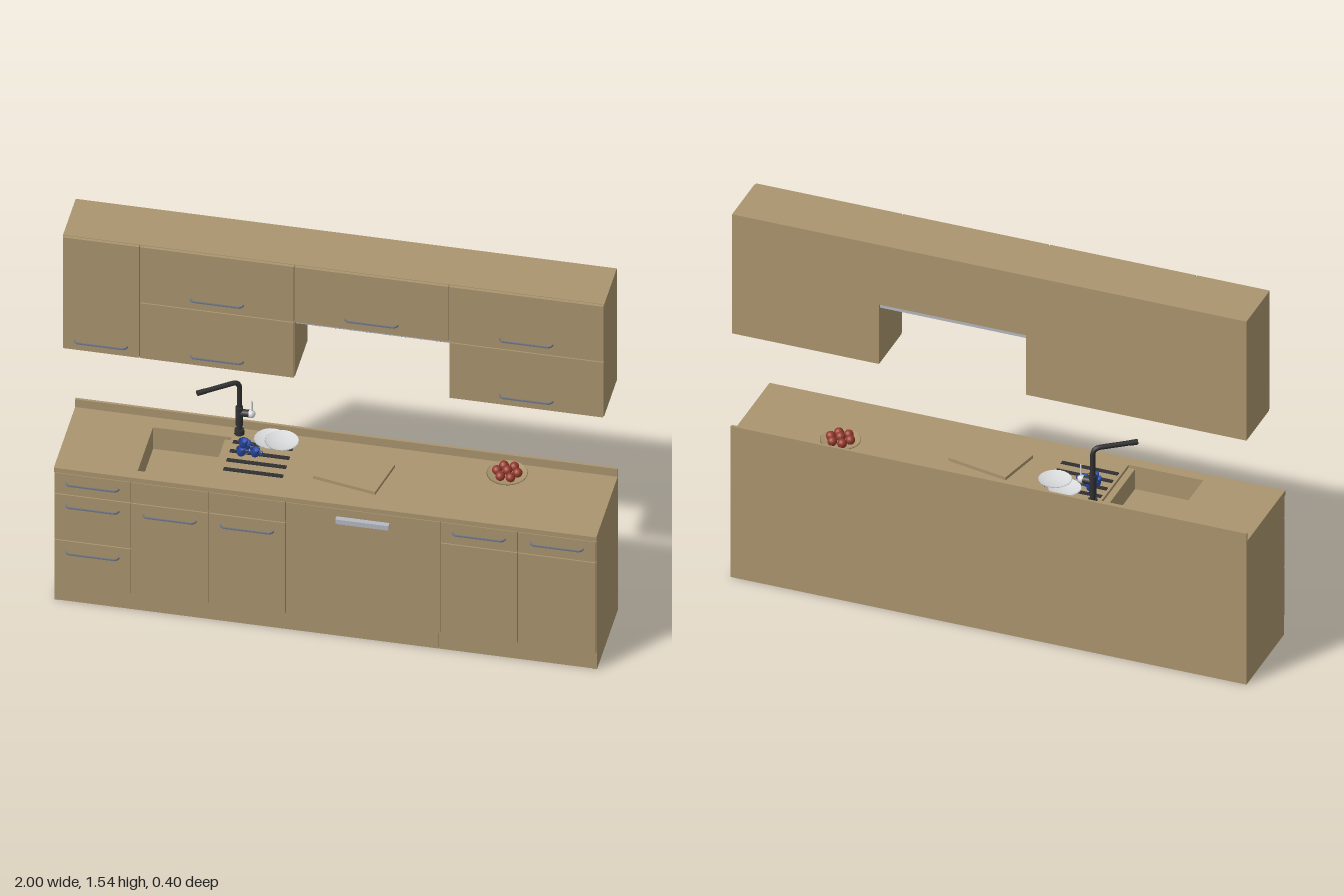
import * as THREE from 'three';

export function createModel() {
  const root = new THREE.Group();
  const mat = (name, color, side = THREE.FrontSide) => {
    const m = new THREE.MeshStandardMaterial({ color, side });
    m.name = name;
    return m;
  };
  const wood = mat('wood', 0xaa946e);
  const steel = mat('handleSteel', 0x6f7684);
  const silver = mat('silver', 0xb4b8c0);
  const black = mat('black', 0x303032);
  const white = mat('white', 0xd8dadc, THREE.DoubleSide);
  const blue = mat('blue', 0x2c4fb0, THREE.DoubleSide);
  const red = mat('red', 0x93382a);

  const add = (name, geo, material, x = 0, y = 0, z = 0, parent = root) => {
    const m = new THREE.Mesh(geo, material);
    m.name = name;
    m.position.set(x, y, z);
    parent.add(m);
    return m;
  };
  // box given by its limits on each axis
  const box = (name, material, x0, x1, y0, y1, z0, z1) =>
    add(name, new THREE.BoxGeometry(x1 - x0, y1 - y0, z1 - z0), material,
      (x0 + x1) / 2, (y0 + y1) / 2, (z0 + z1) / 2);

  // bracket-shaped pull handle
  const pull = new THREE.Shape([[-0.1, 0], [-0.096, 0.012], [-0.085, 0.02], [0.085, 0.02], [0.096, 0.012], [0.1, 0],
    [0.094, 0], [0.091, 0.009], [0.083, 0.015], [-0.083, 0.015], [-0.091, 0.009], [-0.094, 0]]
    .map(([x, y]) => new THREE.Vector2(x, y)));
  const pullGeo = new THREE.ExtrudeGeometry(pull, { depth: 0.006, bevelEnabled: false });
  pullGeo.translate(0, 0, -0.003).rotateX(Math.PI / 2);

  // front panel with a narrow gap round it, and an optional handle height
  const GAP = 0.002;
  const front = (name, x0, x1, y0, y1, z, handleY) => {
    box(name, wood, x0 + GAP, x1 - GAP, y0 + GAP, y1 - GAP, z, z + 0.012);
    if (handleY) add(name + 'Handle', pullGeo, steel, (x0 + x1) / 2, handleY, z + 0.012);
  };

  // ---- base cabinets: shell, partitions, recessed floor and plinth
  const X = [-1, -0.715, -0.43, -0.145, 0.425, 0.71, 1];
  const FZ = 0.168;
  box('baseBack', wood, -1, 1, 0, 0.585, -0.2, -0.19);
  for (const x of [-0.993, 0.993]) {
    box('baseSide', wood, x - 0.007, x + 0.007, 0, 0.585, -0.19, FZ);
  }
  for (const x of [X[1], X[3], X[4]]) box('partition', wood, x - 0.01, x + 0.01, 0, 0.4, -0.19, 0.155);
  box('baseFloor', wood, -0.986, 0.986, 0.072, 0.085, -0.19, FZ);
  box('baseFrontFrame', wood, -0.986, 0.986, 0.085, 0.585, 0.158, FZ);
  box('plinthLong', wood, -0.986, 0.413, 0, 0.072, 0.155, 0.166);
  box('plinthShort', wood, 0.416, 0.986, 0, 0.072, 0.155, 0.166);

  front('topDrawer', X[0], X[1], 0.49, 0.585, FZ, 0.545);
  front('middleDrawer', X[0], X[1], 0.282, 0.49, FZ, 0.445);
  front('bottomDrawer', X[0], X[1], 0.077, 0.282, FZ, 0.235);
  for (const i of [1, 2]) {
    front('sinkPanel', X[i], X[i + 1], 0.49, 0.585, FZ);
    front('sinkDoor', X[i], X[i + 1], 0.077, 0.49, FZ, 0.445);
  }
  front('dishwasherFront', X[3], X[4], 0.077, 0.585, FZ);
  box('dishwasherHandle', silver, 0.042, 0.238, 0.53, 0.55, 0.18, 0.2);
  for (const i of [4, 5]) {
    front('sideDrawer', X[i], X[i + 1], 0.49, 0.585, FZ, 0.545);
    front('sideDoor', X[i], X[i + 1], 0.077, 0.49, FZ);
  }

  // ---- worktop with sink opening, and rear upstand
  const rect = (Type, x0, x1, z0, z1) =>
    new Type([[x0, -z1], [x1, -z1], [x1, -z0], [x0, -z0]].map(([x, y]) => new THREE.Vector2(x, y)));
  const S = { x0: -0.7, x1: -0.41, z0: -0.13, z1: 0.135 };
  const top = rect(THREE.Shape, -1, 1, -0.2, 0.18);
  top.holes.push(rect(THREE.Path, S.x0, S.x1, S.z0, S.z1));
  const topGeo = new THREE.ExtrudeGeometry(top, { depth: 0.02, bevelEnabled: false });
  add('worktop', topGeo.rotateX(-Math.PI / 2), wood, 0, 0.585, 0);
  box('upstand', wood, -1, 1, 0.605, 0.64, -0.2, -0.19);

  // ---- sink basin
  const t = 0.008;
  box('sinkBottom', wood, S.x0, S.x1, 0.5, 0.508, S.z0, S.z1);
  for (const x of [S.x0 - t, S.x1]) box('sinkSide', wood, x, x + t, 0.5, 0.585, S.z0, S.z1);
  for (const z of [S.z0 - t, S.z1]) box('sinkEnd', wood, S.x0 - t, S.x1 + t, 0.5, 0.585, z, z + t);
  box('sinkLedge', wood, S.x1 - 0.025, S.x1, 0.508, 0.592, S.z0, S.z1);
  for (const z of [0.06, 0.005, -0.05, -0.105]) {
    box('drainerSlot', black, -0.4, -0.18, 0.604, 0.608, z - 0.009, z + 0.009);
  }

  // ---- tap
  const tap = new THREE.Group();
  tap.name = 'tap';
  tap.position.set(-0.388, 0.605, -0.16);
  root.add(tap);
  const V = (x, y, z) => new THREE.Vector3(x, y, z);
  const spout = new THREE.CurvePath();
  spout.add(new THREE.LineCurve3(V(0, 0, 0), V(0, 0.205, 0)));
  spout.add(new THREE.QuadraticBezierCurve3(V(0, 0.205, 0), V(0, 0.235, 0), V(-0.024, 0.235, 0.018)));
  spout.add(new THREE.LineCurve3(V(-0.024, 0.235, 0.018), V(-0.132, 0.235, 0.1)));
  add('spout', new THREE.TubeGeometry(spout, 48, 0.0095, 12), black, 0, 0, 0, tap);
  const tip = add('spoutTip', new THREE.CylinderGeometry(0.0105, 0.0105, 0.03, 12), black, -0.122, 0.235, 0.092, tap);
  tip.quaternion.setFromUnitVectors(V(0, 1, 0), V(-0.108, 0, 0.082).normalize());
  add('tapBase', new THREE.CylinderGeometry(0.017, 0.019, 0.02, 16), black, 0, 0.01, 0, tap);
  add('tapBody', new THREE.CylinderGeometry(0.014, 0.014, 0.08, 16), black, 0, 0.08, 0, tap);
  const cyl = new THREE.CylinderGeometry(0.014, 0.014, 0.035, 16).rotateZ(Math.PI / 2);
  add('tapValve', cyl, black, 0.02, 0.095, 0, tap);
  add('leverCap', new THREE.SphereGeometry(0.016, 16, 10), white, 0.043, 0.095, 0, tap);
  add('lever', new THREE.CylinderGeometry(0.003, 0.004, 0.055, 8), white, 0.046, 0.128, 0, tap);

  // ---- crockery, cutting board and fruit
  const lathe = (pts, n = 24) => new THREE.LatheGeometry(pts.map(([x, y]) => new THREE.Vector2(x, y)), n);
  const plate = lathe([[0, 0], [0.035, 0], [0.062, 0.014], [0.06, 0.016], [0.034, 0.004], [0, 0.004]]);
  add('plate', plate, white, -0.265, 0.612, -0.125);
  add('plate', plate, white, -0.22, 0.626, -0.105);
  const cup = lathe([[0, 0], [0.013, 0], [0.018, 0.028], [0.016, 0.028], [0.011, 0.003], [0, 0.003]], 16);
  for (const [x, y, z] of [[-0.355, 0.608, -0.035], [-0.305, 0.608, -0.04], [-0.345, 0.608, -0.075], [-0.35, 0.634, -0.05]]) {
    add('cup', cup, blue, x, y, z);
    add('cupHandle', new THREE.TorusGeometry(0.008, 0.002, 6, 12), blue, x + 0.02, y + 0.015, z);
  }
  const board = add('cuttingBoard', new THREE.BoxGeometry(0.245, 0.013, 0.18), wood, 0.065, 0.6115, -0.015);
  board.rotation.y = -0.2;

  add('fruitDish', lathe([[0, 0], [0.045, 0], [0.075, 0.016], [0.072, 0.019], [0.044, 0.006], [0, 0.006]]),
    wood, 0.61, 0.605, -0.11);
  const fruit = new THREE.SphereGeometry(0.018, 14, 10);
  add('fruit', fruit, red, 0.61, 0.634, -0.11);
  for (let i = 0; i < 6; i++) {
    const a = (i * Math.PI) / 3;
    add('fruit', fruit, red, 0.61 + 0.038 * Math.cos(a), 0.628, -0.11 + 0.038 * Math.sin(a));
  }

  // ---- wall cabinets
  const UZ = 0.02, low = 1.035, mid = 1.287, high = 1.54;
  const units = [[-1, -0.715, low], [-0.715, -0.145, low], [-0.145, 0.425, mid], [0.425, 0.995, low]];
  for (const [x0, x1, y0] of units) box('wallCabinet', wood, x0, x1, y0, high, -0.2, UZ);
  front('wallDoor', -1, -0.715, low, high, UZ, 1.08);
  for (const [x0, x1, y0] of units.slice(1)) {
    front('upperFlap', x0, x1, mid, high, UZ, 1.335);
    if (y0 === low) front('lowerFlap', x0, x1, low, mid, UZ, 1.08);
  }

  // ---- cooker hood under the middle unit
  box('hood', silver, -0.143, 0.423, 1.272, mid, -0.195, 0.015);
  box('hoodFilter', black, -0.138, 0.418, 1.268, 1.272, -0.17, 0.01);
  return root;
}
